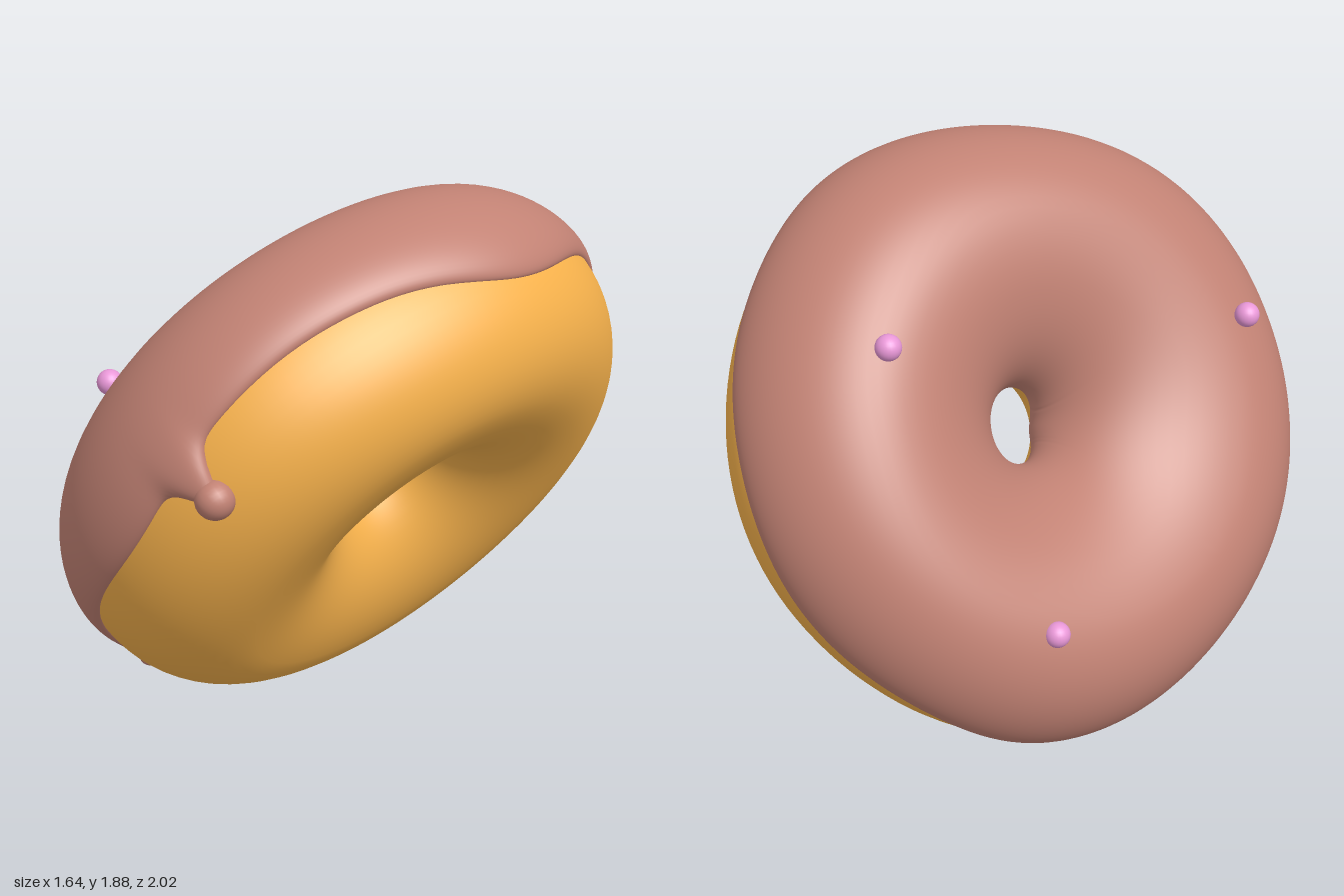
import * as THREE from 'three';
import { ParametricGeometry } from 'three/addons/geometries/ParametricGeometry.js';

const RING = 0.64, OUTER = 0.367, INNER = 0.475, HEIGHT = 0.405;
const AXIS = new THREE.Vector3(-0.765, 0.53, -0.365).normalize();
const CENTER = new THREE.Vector3(0.015, 0.942, -0.008);
const TILT = new THREE.Quaternion().setFromUnitVectors(new THREE.Vector3(0, 1, 0), AXIS);

// Angle around the hole of a world point, in the ring's own frame (hole along y)
function azimuth(x, y, z) {
  const p = new THREE.Vector3(x, y, z).sub(CENTER).applyQuaternion(TILT.clone().invert());
  return Math.atan2(-p.z, p.x);
}
const wrap = (a) => Math.atan2(Math.sin(a), Math.cos(a));
const holeShift = azimuth(0.7, 1.1, -0.6);

// Point on the slightly lumpy ring: theta around the hole, phi around the tube
function ringPoint(theta, phi, offset, target) {
  const c = Math.cos(phi), s = Math.sin(phi);
  const lump = 0.012 * Math.sin(3 * theta + 0.6) + 0.007 * Math.sin(5 * theta + 2);
  const inner = INNER - 0.05 * Math.cos(theta - holeShift);
  const rho = RING + c * ((c > 0 ? OUTER + lump : inner) + offset);
  return target.set(rho * Math.cos(theta), s * (HEIGHT + offset), -rho * Math.sin(theta));
}

// Narrow drips with a drop at the end
const drips = [
  { at: azimuth(-0.06, 1.22, 0.97), depth: 0.37, width: 0.065, bulb: 0.062 },
  { at: azimuth(-0.59, 0.25, 0.4), depth: 0.1, width: 0.07, bulb: 0.038 },
  { at: azimuth(-0.51, 0.15, 0.3), depth: 0.2, width: 0.07, bulb: 0.038 },
];
// Broad sags (positive depth) and rises (negative depth) of the edge
const sags = [
  { at: azimuth(0.67, 1.67, 0.15), depth: 0.2, width: 0.36 },
  { at: azimuth(0.15, 1.6, 0.75), depth: -0.1, width: 0.3 },
  { at: azimuth(-0.2, 1.1, 0.95), depth: 0.12, width: 0.35 },
  { at: azimuth(0.42, 0.25, -0.5), depth: -0.28, width: 0.75 },
  { at: azimuth(0.53, 1.2, -0.8), depth: -0.12, width: 0.35 },
];

function icingEdge(theta) {
  const edge = -0.13 + 0.03 * Math.sin(7 * theta);
  return [...drips, ...sags].reduce(
    (e, d) => e - d.depth * Math.exp(-((wrap(theta - d.at) / d.width) ** 2)), edge);
}

function doughPoint(u, v, target) {
  ringPoint(u * Math.PI * 2, v * Math.PI * 2, 0, target);
}

// Icing shell with rounded lips, thicker inside the hole
function icingPoint(u, v, target) {
  const theta = u * Math.PI * 2;
  const t = (1 - Math.cos(Math.PI * v)) / 2;
  const start = icingEdge(theta);
  const end = Math.PI + 0.08 + 0.08 * Math.sin(2 * theta);
  const phi = start + (end - start) * t;
  const round = Math.sqrt(Math.max(0, 1 - Math.abs(2 * t - 1) ** 10));
  const thickness = 0.042 + 0.025 * THREE.MathUtils.smoothstep(phi, 2, 3.1);
  ringPoint(theta, phi, thickness * round - 0.003, target);
}

export function createModel() {
  const model = new THREE.Group();
  model.name = 'donut';
  const ring = new THREE.Group();
  ring.name = 'ring';
  ring.quaternion.copy(TILT);
  ring.position.copy(CENTER);
  model.add(ring);

  const doughMat = new THREE.MeshStandardMaterial({ color: 0xf7b24c });
  const icingMat = new THREE.MeshStandardMaterial({ color: 0xc28274, side: THREE.DoubleSide });
  const sprinkleMat = new THREE.MeshStandardMaterial({ color: 0xe998d8 });

  const add = (parent, name, geometry, material) => {
    const mesh = new THREE.Mesh(geometry, material);
    mesh.name = name;
    parent.add(mesh);
    return mesh;
  };

  add(ring, 'dough', new ParametricGeometry(doughPoint, 128, 64), doughMat);
  add(ring, 'icing', new ParametricGeometry(icingPoint, 360, 56), icingMat);

  // Round drop at the end of each drip
  for (const d of drips) {
    const drop = add(ring, 'icingDrop', new THREE.SphereGeometry(d.bulb, 24, 16), icingMat);
    ringPoint(d.at, icingEdge(d.at) + 0.04, -0.002, drop.position);
  }

  // Round sprinkles on the icing
  const ball = new THREE.SphereGeometry(0.042, 24, 16);
  for (const p of [[-0.6, 1.29, 0.5], [0.12, 1.54, -0.62], [-0.46, 0.66, -0.62]]) {
    add(model, 'sprinkle', ball, sprinkleMat).position.set(...p);
  }
  return model;
}
